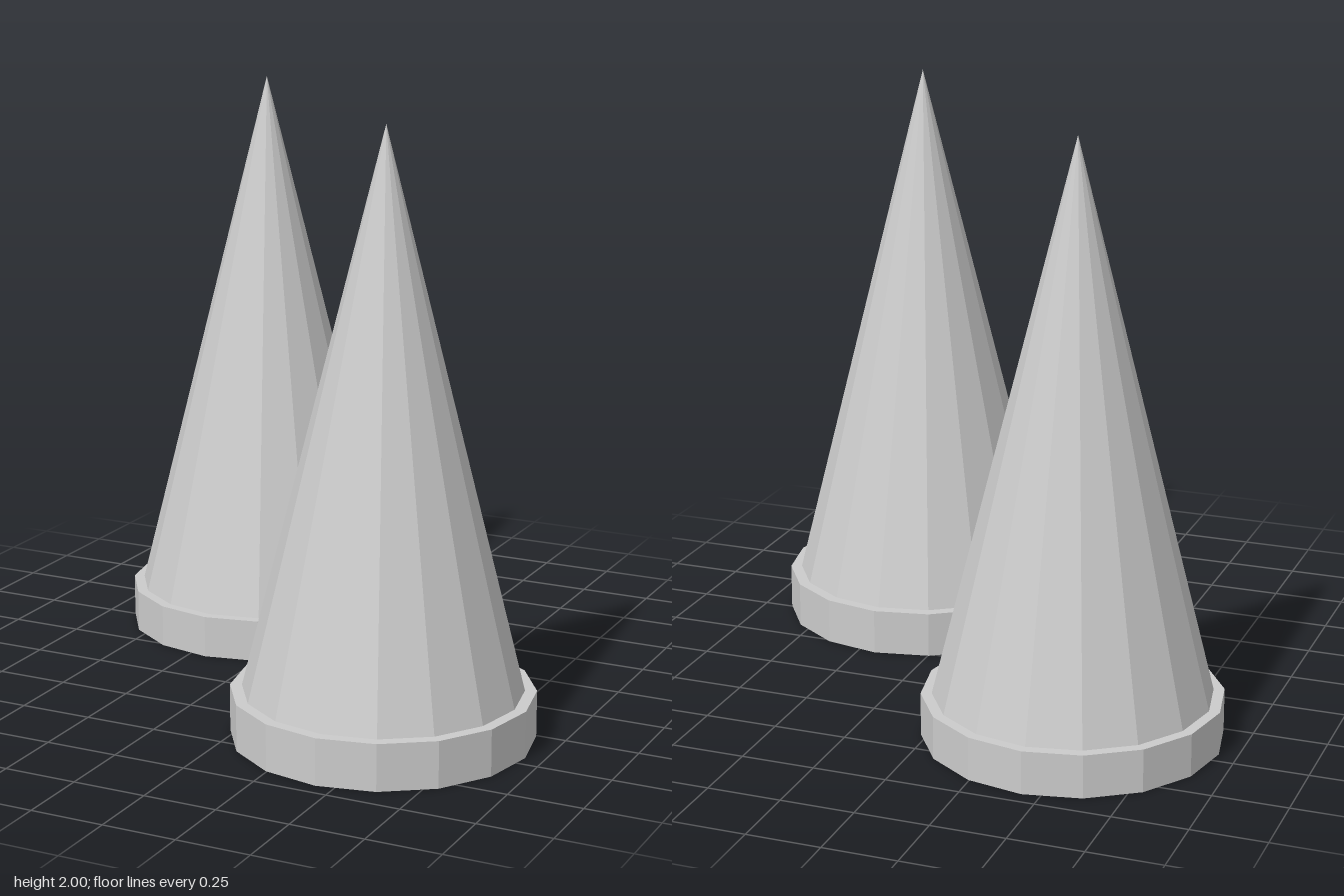
import * as THREE from 'three';

const SIDES = 16;
const RADIUS = 0.5;
const HEIGHT = 2;

// One spike: a flat faceted base with a tall cone tapering to a point
function createSpike(name, baseHeight) {
  const material = new THREE.MeshStandardMaterial({ color: 0xcccccc, flatShading: true });
  const spike = new THREE.Group();
  spike.name = name;

  const base = new THREE.Mesh(
    new THREE.CylinderGeometry(RADIUS, RADIUS, baseHeight, SIDES), material);
  base.name = 'base';
  base.position.y = baseHeight / 2;

  // The cone's slope would meet the ground at the rim of the base
  const coneHeight = HEIGHT - baseHeight;
  const cone = new THREE.Mesh(
    new THREE.ConeGeometry(RADIUS * coneHeight / HEIGHT, coneHeight, SIDES, 1, true), material);
  cone.name = 'cone';
  cone.position.y = baseHeight + coneHeight / 2;

  spike.add(base, cone);
  return spike;
}

export function createModel() {
  const model = new THREE.Group();
  model.name = 'conePair';

  const front = createSpike('frontLeftSpike', 0.157);
  front.position.set(0.438, 0, 0.448);
  const back = createSpike('backRightSpike', 0.146);
  back.position.set(-0.438, 0, -0.448);

  model.add(front, back);
  return model;
}
